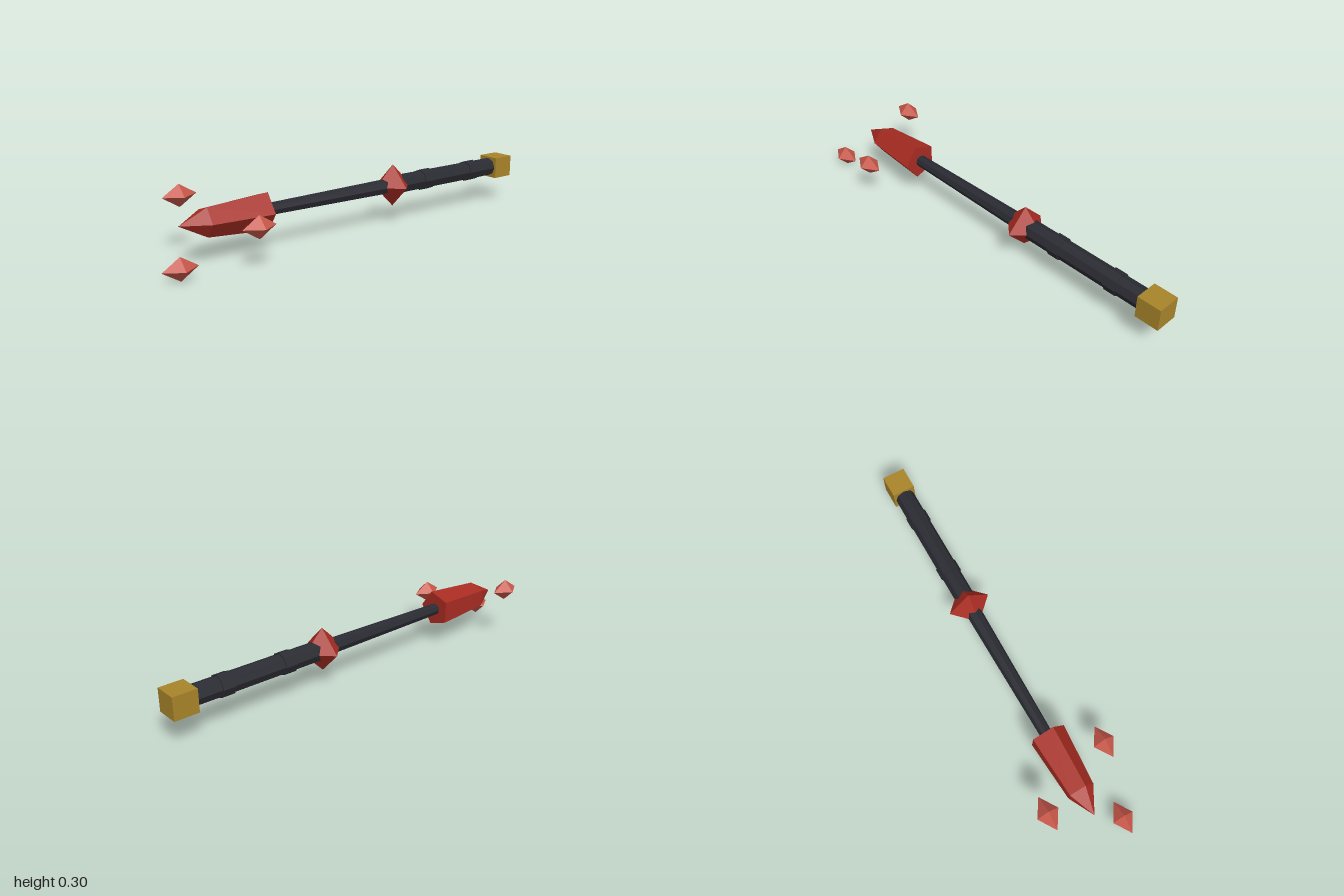
import * as THREE from 'three';

const mat = (name, color) => {
  const m = new THREE.MeshStandardMaterial({ color });
  m.name = name;
  m.flatShading = true;
  return m;
};

export function createModel() {
  const model = new THREE.Group();
  model.name = 'crystalStaff';
  const dark = mat('darkWood', 0x2a2a32);
  const red = mat('redCrystal', 0xa82c22);
  const pale = mat('paleRedCrystal', 0xc8584a);
  const gold = mat('gold', 0xa8842a);

  // Everything on the staff shares one axis along z
  const staff = new THREE.Group();
  staff.name = 'staff';
  staff.position.set(-0.013, 0.178, 0);
  model.add(staff);

  const add = (parent, name, geometry, material, x, y, z) => {
    const mesh = new THREE.Mesh(geometry, material);
    mesh.name = name;
    mesh.position.set(x, y, z);
    parent.add(mesh);
    return mesh;
  };

  // Faceted rod from z0 (back) to z1 (front), one corner pointing to +x
  const rod = (name, rBack, rFront, z0, z1, sides, material, open = false) => {
    const g = new THREE.CylinderGeometry(rFront, rBack, z1 - z0, sides, 1, open);
    g.rotateY(Math.PI / 2).rotateX(Math.PI / 2);
    return add(staff, name, g, material, 0, 0, (z0 + z1) / 2);
  };

  // Shaft, grip and grip rings
  rod('shaft', 0.037, 0.027, -0.24, 0.5, 8, dark);
  rod('grip', 0.046, 0.046, -0.9, -0.24, 8, dark);
  [-0.745, -0.44].forEach((z, i) =>
    rod('gripRing' + (i + 1), 0.051, 0.051, z - 0.029, z + 0.029, 8, dark));

  // Pommel block
  add(staff, 'pommel', new THREE.BoxGeometry(0.108, 0.104, 0.111), gold, 0, 0, -0.9445);

  // Guard crystal
  add(staff, 'guard', new THREE.OctahedronGeometry(0.1), red, 0, 0, -0.24);

  // Five-sided head with a pointed tip
  rod('headBody', 0.087, 0.066, 0.465, 0.745, 5, red);
  rod('headTip', 0.066, 0, 0.745, 0.863, 5, red, true);

  // Floating shards
  [[-0.19, 0.253, 0.768], [0.188, 0.178, 0.613], [0.113, 0.05, 0.922]].forEach(([x, y, z], i) => {
    const g = new THREE.OctahedronGeometry(0.05).scale(1, 1, 1.56);
    add(model, 'shard' + (i + 1), g, pale, x, y, z);
  });

  return model;
}
